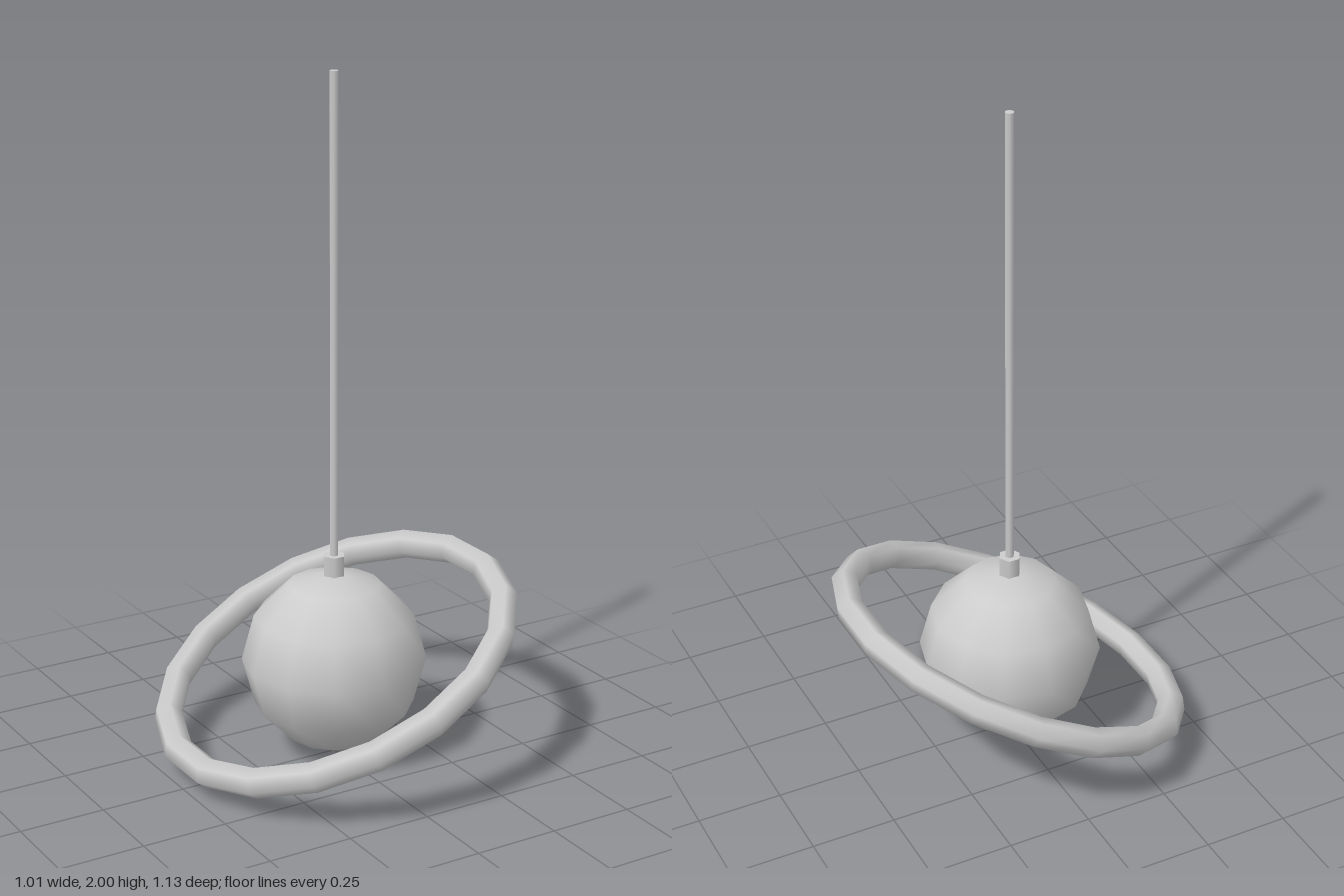
import * as THREE from 'three';

const material = new THREE.MeshStandardMaterial({ color: 0xcccccc });

function add(group, name, geometry, y) {
  const mesh = new THREE.Mesh(geometry, material);
  mesh.name = name;
  mesh.position.y = y;
  group.add(mesh);
  return mesh;
}

// Upright six-sided cylinder between two heights, with corners on the x axis
function post(group, name, radius, y0, y1) {
  const geometry = new THREE.CylinderGeometry(radius, radius, y1 - y0, 6).rotateY(Math.PI / 6);
  return add(group, name, geometry, (y0 + y1) / 2);
}

export function createModel() {
  const group = new THREE.Group();
  group.name = 'ringedPendantLamp';
  const centerY = 0.293;

  // Globe
  add(group, 'globe', new THREE.SphereGeometry(0.268, 12, 6), centerY);

  // Tilted ring around the globe, higher on the +x side
  const ring = new THREE.TorusGeometry(0.522, 0.043, 6, 18)
    .rotateZ(Math.PI / 2)
    .rotateX(Math.PI / 2)
    .rotateZ(THREE.MathUtils.degToRad(24.8));
  add(group, 'ring', ring, centerY + 0.002);

  // Hanging rod and the collar that holds the globe
  post(group, 'collar', 0.033, 0.54, 0.612);
  post(group, 'rod', 0.0135, 0.6, 2);

  // Small knob under the globe
  add(group, 'bottomKnob', new THREE.SphereGeometry(0.03, 6, 4), 0.03);

  return group;
}
